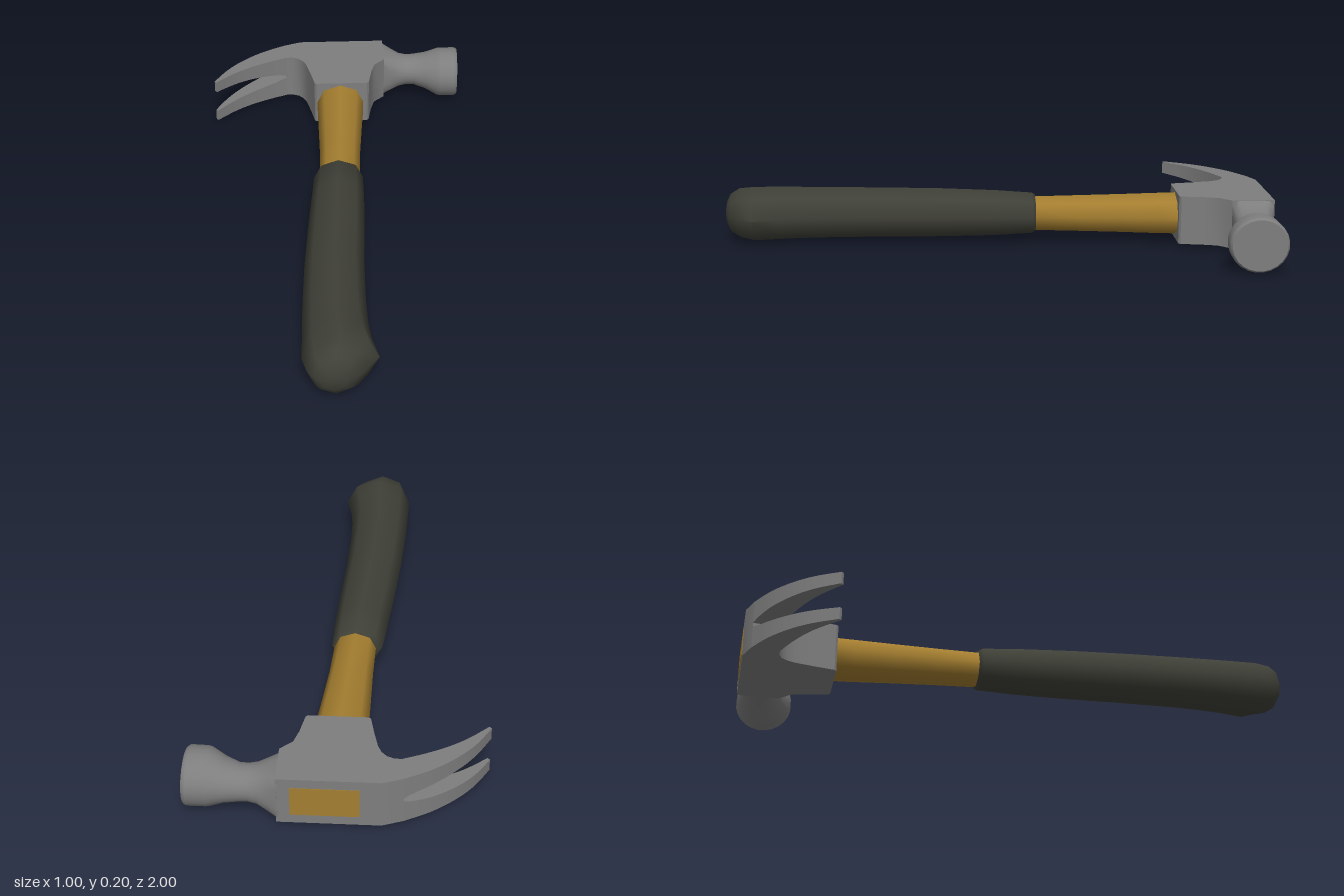
import * as THREE from 'three';
import { toCreasedNormals } from 'three/addons/utils/BufferGeometryUtils.js';

const CY = 0.106; // height of the central plane
const LOW = 0.017, HIGH = 0.195; // flat sides of the head

// Skin a list of equal-length rings and close both ends with fans
function loft(rings, crease) {
  const n = rings[0].length, pos = [], idx = [];
  rings.forEach(r => r.forEach(p => pos.push(...p)));
  for (let k = 0; k < rings.length - 1; k++) {
    for (let j = 0; j < n; j++) {
      const a = k * n + j, b = k * n + (j + 1) % n;
      idx.push(a, b, b + n, a, b + n, a + n);
    }
  }
  [0, rings.length - 1].forEach((k, end) => {
    const c = pos.length / 3;
    pos.push(...[0, 1, 2].map(i => rings[k].reduce((s, p) => s + p[i], 0) / n));
    for (let j = 0; j < n; j++) {
      const a = k * n + j, b = k * n + (j + 1) % n;
      if (end) idx.push(c, a, b); else idx.push(c, b, a);
    }
  });
  const g = new THREE.BufferGeometry();
  g.setAttribute('position', new THREE.Float32BufferAttribute(pos, 3));
  g.setIndex(idx);
  return toCreasedNormals(g, crease);
}

// Eight-sided handle section: [z, left x, right x, half height]
function handleRing([z, x0, x1, h]) {
  return Array.from({ length: 8 }, (_, i) => {
    const a = i * Math.PI / 4;
    return [(x0 + x1) / 2 + (x1 - x0) / 2 * Math.cos(a), CY + h * Math.sin(a), z];
  });
}

// Striker section, blending from box (round = 0) to circle (round = 1)
function strikerRing([x, cz, hy, hz, round, tilt]) {
  return Array.from({ length: 24 }, (_, i) => {
    const a = (i + 0.5) * Math.PI / 12, c = Math.cos(a), s = Math.sin(a);
    const f = round + (1 - round) / Math.max(Math.abs(c), Math.abs(s));
    return [x - tilt * s * f * hz, CY + hy * c * f, cz + hz * s * f];
  });
}

export function createModel() {
  const steel = new THREE.MeshStandardMaterial({ color: 0x7e7e7e });
  steel.name = 'steel';
  const wood = new THREE.MeshStandardMaterial({ color: 0xa47e30 });
  wood.name = 'wood';
  const rubber = new THREE.MeshStandardMaterial({ color: 0x3f4037 });
  rubber.name = 'rubber';

  const hammer = new THREE.Group();
  hammer.name = 'hammer';
  const head = new THREE.Group();
  head.name = 'head';
  hammer.add(head);
  const add = (parent, name, geometry, material) => {
    const m = new THREE.Mesh(geometry, material);
    m.name = name;
    parent.add(m);
    return m;
  };

  // Head block with socket, outline in x and -z
  const outline = [
    [0.19, 0.998], [-0.15, 0.998], [-0.22, 0.972], [-0.21, 0.874], [-0.185, 0.874],
    [-0.16, 0.863], [-0.142, 0.842], [-0.13, 0.815], [-0.115, 0.75], [-0.1, 0.672],
    [-0.093, 0.665], [0.11, 0.665], [0.118, 0.672], [0.132, 0.75], [0.148, 0.805], [0.19, 0.845],
  ];
  const shape = new THREE.Shape(outline.map(p => new THREE.Vector2(...p)));
  const block = new THREE.ExtrudeGeometry(shape, { depth: HIGH - LOW, bevelEnabled: false });
  block.rotateX(-Math.PI / 2).translate(0, LOW, 0);
  add(head, 'headBlock', toCreasedNormals(block, 0.55), steel);

  // Neck and striking face: [x, centre z, half y, half z, roundness, tilt]
  const striker = [
    [0.185, -0.922, 0.089, 0.077, 0, 0],
    [0.215, -0.918, 0.079, 0.073, 0.35, 0],
    [0.255, -0.913, 0.064, 0.068, 0.8, 0],
    [0.285, -0.912, 0.061, 0.066, 1, 0],
    [0.315, -0.912, 0.062, 0.067, 1, 0],
    [0.365, -0.901, 0.074, 0.082, 1, 0.02],
    [0.412, -0.89, 0.096, 0.1, 1, 0.05],
    [0.425, -0.888, 0.098, 0.102, 1, 0.05],
    [0.478, -0.887, 0.098, 0.104, 1, 0.05],
    [0.486, -0.887, 0.097, 0.102, 1, 0.05],
    [0.493, -0.887, 0.091, 0.096, 1, 0.05],
  ];
  add(head, 'striker', loft(striker.map(strikerRing), 0.75), steel);

  // Two claw prongs following outer and inner curves, with a tapering slot between
  const curve = pts => new THREE.SplineCurve(pts.map(p => new THREE.Vector2(...p))).getPoints(16);
  const outer = curve([[-0.22, -0.972], [-0.31, -0.921], [-0.39, -0.855], [-0.45, -0.785], [-0.5, -0.7]]);
  const inner = curve([[-0.21, -0.874], [-0.285, -0.842], [-0.36, -0.802], [-0.425, -0.755], [-0.492, -0.692]]);
  const slot = x => 0.006 + 0.039 * Math.pow(Math.max(0, (-0.22 - x) / 0.28), 0.6);
  for (const side of [1, -1]) {
    const rings = outer.map((o, i) => {
      const n = inner[i];
      const so = CY + side * slot(o.x), sn = CY + side * slot(n.x);
      const edge = side > 0 ? HIGH : LOW;
      return side > 0
        ? [[o.x, so, o.y], [n.x, sn, n.y], [n.x, edge, n.y], [o.x, edge, o.y]]
        : [[o.x, edge, o.y], [n.x, edge, n.y], [n.x, sn, n.y], [o.x, so, o.y]];
    });
    add(head, side > 0 ? 'upperClaw' : 'lowerClaw', loft(rings, 0.6), steel);
  }

  // End of the handle showing through the back of the head
  const plug = add(head, 'handleEnd', new THREE.BoxGeometry(0.225, 0.11, 0.006), wood);
  plug.position.set(0.033, CY, -0.997);

  // Wooden shaft
  const shaft = [
    [-0.72, -0.09, 0.098, 0.08],
    [-0.6, -0.09, 0.092, 0.077],
    [-0.45, -0.09, 0.078, 0.072],
    [-0.3, -0.09, 0.065, 0.068],
    [-0.1, -0.094, 0.055, 0.063],
  ];
  add(hammer, 'shaft', loft(shaft.map(handleRing), 1.1), wood);

  // Rubber grip with a rounded lip and flared butt
  const grip = [
    [-0.147, -0.108, 0.058, 0.07],
    [-0.135, -0.117, 0.067, 0.077],
    [0, -0.13, 0.065, 0.086],
    [0.2, -0.149, 0.056, 0.092],
    [0.4, -0.165, 0.045, 0.094],
    [0.6, -0.176, 0.04, 0.096],
    [0.72, -0.18, 0.042, 0.098],
    [0.8, -0.182, 0.05, 0.1],
    [0.89, -0.185, 0.07, 0.102],
    [0.945, -0.171, 0.026, 0.094],
    [0.978, -0.15, -0.004, 0.073],
    [0.993, -0.125, -0.038, 0.045],
    [1, -0.095, -0.075, 0.012],
  ];
  add(hammer, 'grip', loft(grip.map(handleRing), 1.1), rubber);

  return hammer;
}
